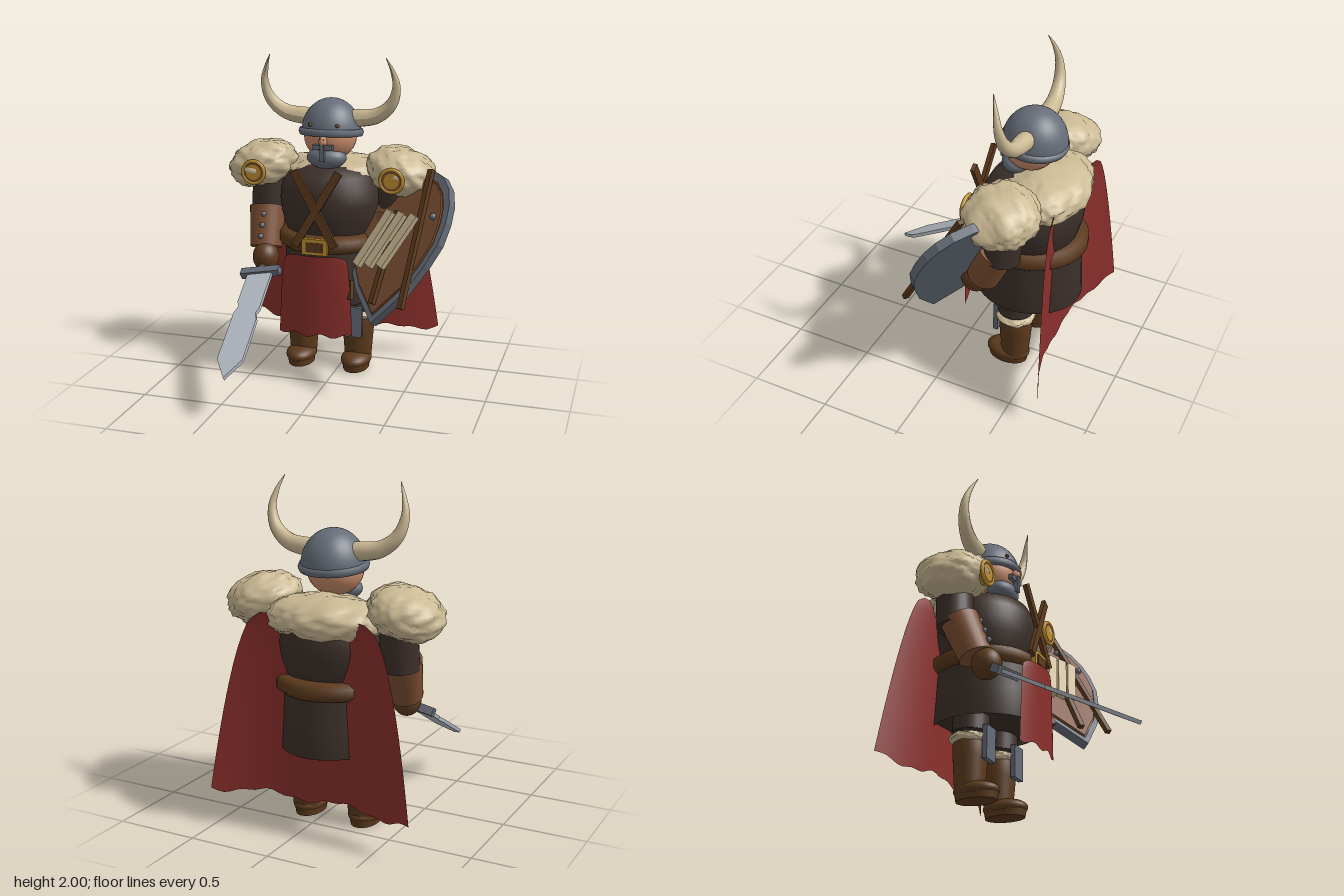
import * as THREE from 'three';
import { mergeVertices } from 'three/addons/utils/BufferGeometryUtils.js';

const mat = (name, color, side = THREE.FrontSide) => {
  const m = new THREE.MeshStandardMaterial({ color, side });
  m.name = name;
  return m;
};
const V = (x, y, z) => new THREE.Vector3(x, y, z);

export function createModel() {
  const fur = mat('tan fur and horn', 0xcbb994);
  const steel = mat('grey steel', 0x666d78);
  const blade = mat('bright blade', 0xb4bbc3);
  const cloth = mat('dark tunic', 0x3c302a);
  const brown = mat('dark brown leather', 0x5c3a1d);
  const leather = mat('tan leather', 0x7d4f33);
  const red = mat('red cloth', 0x8a2f2b, THREE.DoubleSide);
  const gold = mat('gold', 0xbd8f2e);
  const skin = mat('skin', 0xc98d6b);

  const model = new THREE.Group();
  model.name = 'warrior';
  const body = new THREE.Group(); // mirrored parts share this centre line
  body.name = 'body';
  body.position.x = -0.076;
  model.add(body);

  const add = (parent, name, geo, material, x = 0, y = 0, z = 0) => {
    const m = new THREE.Mesh(geo, material);
    m.name = name;
    m.position.set(x, y, z);
    parent.add(m);
    return m;
  };
  const box = (w, h, d) => new THREE.BoxGeometry(w, h, d);
  const ball = (rx, ry, rz) => new THREE.SphereGeometry(1, 28, 18).scale(rx, ry, rz);
  const lathe = (pts, zScale = 1) =>
    new THREE.LatheGeometry(pts.map(p => new THREE.Vector2(p[0], p[1])), 40).scale(1, 1, zScale);
  // orients an object by its long axis and its front normal
  const orient = (o, origin, up, normal) => {
    const y = up.clone().normalize();
    const x = y.clone().cross(normal).normalize();
    o.quaternion.setFromRotationMatrix(new THREE.Matrix4().makeBasis(x, y, x.clone().cross(y)));
    o.position.copy(origin);
    return o;
  };
  const bar = (parent, name, a, b, w, d, material, normal) =>
    orient(add(parent, name, box(w, a.distanceTo(b), d), material),
      a.clone().add(b).multiplyScalar(0.5), b.clone().sub(a), normal);
  const limb = (name, a, b, ra, rb, material) =>
    orient(add(body, name, new THREE.CylinderGeometry(rb, ra, a.distanceTo(b), 24), material),
      a.clone().add(b).multiplyScalar(0.5), b.clone().sub(a), V(0, 0, 1));
  // lumpy ellipsoid for fur
  const furBall = (rx, ry, rz, seed) => {
    let g = new THREE.IcosahedronGeometry(1, 9);
    g.deleteAttribute('normal');
    g.deleteAttribute('uv');
    g = mergeVertices(g, 1e-4);
    const p = g.attributes.position;
    for (let i = 0; i < p.count; i++) {
      const v = V().fromBufferAttribute(p, i);
      const k = 0.98 + 0.045 * Math.sin(7 * v.x + 3 * v.y + seed) * Math.sin(6 * v.z - 4 * v.y + seed)
        + 0.04 * Math.sin(15 * v.x + 9 * v.z + seed) * Math.cos(13 * v.y - 8 * v.z)
        + 0.02 * Math.sin(29 * v.y + 23 * v.x) * Math.sin(25 * v.z + seed);
      p.setXYZ(i, v.x * k * rx, v.y * k * ry, v.z * k * rz);
    }
    g.computeVertexNormals();
    return g;
  };
  // sheet shaped by a rule of s (-1..1 across) and t (0..1 down)
  const sheet = (rule) => {
    const g = new THREE.PlaneGeometry(2, 1, 36, 24);
    const p = g.attributes.position;
    for (let i = 0; i < p.count; i++) p.setXYZ(i, ...rule(p.getX(i), 0.5 - p.getY(i)));
    g.computeVertexNormals();
    return g;
  };

  // torso, skirt and belt
  add(body, 'torso', lathe([[0.25, 0.84], [0.29, 0.93], [0.315, 1.02], [0.325, 1.1], [0.315, 1.19],
    [0.27, 1.27], [0.15, 1.32], [0, 1.325]], 0.94), cloth, 0, 0, -0.372);
  add(body, 'tunicSkirt', lathe([[0, 0.52], [0.28, 0.5], [0.3, 0.48], [0.29, 0.65], [0.28, 0.9]], 1.11),
    cloth, 0, 0, -0.362);
  add(body, 'belt', lathe([[0.24, 0.81], [0.3, 0.815], [0.328, 0.84], [0.328, 0.89], [0.3, 0.915], [0.24, 0.92]], 1.05),
    brown, 0, 0, -0.368);
  add(body, 'buckle', box(0.16, 0.1, 0.03), gold, 0, 0.87, -0.02);
  add(body, 'buckleCentre', box(0.105, 0.058, 0.02), brown, 0, 0.868, -0.008);
  for (const s of [-1, 1])
    bar(body, 'chestStrap', V(s * 0.125, 0.875, -0.01), V(-s * 0.14, 1.33, -0.045), 0.05, 0.025, brown, V(0, 0, 1));

  // cloth
  add(body, 'loincloth', sheet((s, t) => [
    s * (0.195 + 0.04 * Math.sqrt(t)),
    0.82 - 0.51 * t - 0.03 * s ** 8 * (1 - t) + t * 0.012 * Math.sin(9 * s),
    0.02 - 0.05 * s * s]), red);
  add(body, 'cape', sheet((s, t) => [
    s * (0.33 + 0.31 * Math.pow(t, 0.5)),
    1.27 - t * (1.085 + 0.018 * Math.sin(8 * s + 0.6) + 0.008 * Math.sin(23 * s) - 0.012 * s ** 8),
    -0.58 - Math.abs(s) ** 2.5 * (0.05 + 0.08 * t)]), red);

  // fur collar
  add(body, 'furCollar', furBall(0.365, 0.14, 0.245, 1), fur, 0, 1.242, -0.47);

  // head
  add(body, 'head', ball(0.165, 0.15, 0.158), skin, 0, 1.5, -0.345);
  add(body, 'nose', ball(0.025, 0.035, 0.035), skin, 0, 1.49, -0.185);
  add(body, 'beard', ball(0.125, 0.07, 0.09), steel, 0, 1.378, -0.265);
  add(body, 'moustache', box(0.125, 0.03, 0.03), steel, 0, 1.455, -0.185);
  add(body, 'noseGuard', box(0.028, 0.14, 0.03), steel, 0, 1.44, -0.172);
  add(body, 'helmetDome', new THREE.SphereGeometry(0.185, 32, 16, 0, Math.PI * 2, 0, Math.PI / 2).scale(1, 1.13, 1.04),
    steel, 0, 1.525, -0.365);
  add(body, 'helmetLining', new THREE.CircleGeometry(0.185, 32).rotateX(Math.PI / 2), steel, 0, 1.515, -0.365);
  const rim = add(body, 'helmetRim', lathe([[0.17, -0.022], [0.195, -0.022], [0.203, 0], [0.195, 0.022], [0.17, 0.022]]),
    steel, 0, 1.525, -0.362);
  rim.rotation.x = -0.1;
  for (const s of [-1, 1]) add(body, 'helmetRivet', ball(0.013, 0.011, 0.013), brown, s * 0.086, 1.588, -0.2);

  // horn swept along a curve and tapered ring by ring
  const horn = (s) => {
    const path = new THREE.CatmullRomCurve3([V(0.14, 1.61, -0.37), V(0.29, 1.635, -0.36), V(0.385, 1.71, -0.345),
      V(0.42, 1.82, -0.325), V(0.4, 1.92, -0.3), V(0.366, 2, -0.27)].map(v => v.setX(v.x * s)));
    const n = 28, r = 12, g = new THREE.TubeGeometry(path, n, 0.056, r);
    const p = g.attributes.position;
    for (let i = 0; i < p.count; i++) {
      const t = Math.floor(i / (r + 1)) / n;
      const v = V().fromBufferAttribute(p, i).lerp(path.getPointAt(t), Math.pow(t, 1.4) * 0.97);
      p.setXYZ(i, v.x, v.y, v.z);
    }
    g.computeVertexNormals();
    return g;
  };

  for (const s of [-1, 1]) {
    add(body, 'horn', horn(s), fur);

    // shoulder
    add(body, 'shoulderFur', furBall(0.225, 0.15, 0.225, 3 + s), fur, s * 0.452, 1.298, -0.368).rotation.z = -s * 0.28;
    const disc = new THREE.Group();
    disc.name = 'shoulderDisc';
    disc.position.set(s * 0.44, 1.28, -0.165);
    body.add(disc);
    add(disc, 'discPlate', new THREE.CylinderGeometry(0.07, 0.07, 0.04, 28).rotateX(Math.PI / 2), gold);
    add(disc, 'discRim', new THREE.TorusGeometry(0.069, 0.012, 10, 32), gold, 0, 0, 0.015);
    add(disc, 'discRing', new THREE.RingGeometry(0.048, 0.06, 28), leather, 0, 0, 0.022);

    // arm
    limb('upperArm', V(s * 0.42, 0.97, -0.36), V(s * 0.41, 1.25, -0.38), 0.108, 0.11, cloth);
    limb('forearm', V(s * 0.395, 0.78, -0.235), V(s * 0.415, 1.02, -0.335), 0.1, 0.115, leather);
    add(body, 'hand', ball(0.083, 0.095, 0.09), brown, s * 0.375, 0.735, -0.175);
    for (let i = 0; i < 3; i++)
      add(body, 'forearmStud', ball(0.017, 0.017, 0.017), steel, s * 0.4, 0.87 + i * 0.065, -0.152 - i * 0.03);

    // leg
    const x = s * 0.185;
    add(body, 'thigh', new THREE.CylinderGeometry(0.1, 0.112, 0.25, 24), cloth, x, 0.53, -0.36);
    add(body, 'knee', ball(0.112, 0.06, 0.108), cloth, x, 0.42, -0.36);
    add(body, 'boot', lathe([[0.085, 0.05], [0.09, 0.12], [0.1, 0.25], [0.104, 0.33], [0.09, 0.38], [0, 0.39]]),
      brown, x, 0, -0.36);
    add(body, 'bootCuff', furBall(0.127, 0.045, 0.122, 6), fur, x, 0.365, -0.36);
    add(body, 'shinGuard', box(0.11, 0.2, 0.03), steel, x, 0.33, -0.245);
    add(body, 'foot', ball(0.096, 0.055, 0.14), brown, x, 0.06, -0.315);
    add(body, 'sole', new THREE.CylinderGeometry(0.085, 0.08, 0.04, 24).scale(1, 1, 1.55), brown, x, 0.02, -0.315);
  }

  // shield: steel plate with raised leather face, laid in its own plane
  const half = [[0.19, 0.195], [0.3, 0.375], [0.365, 0.515], [0.385, 0.65], [0.38, 0.76], [0.345, 0.86],
    [0.28, 0.935], [0.17, 0.985]];
  const outline = (k) => {
    const pts = [[0, 0], ...half, ...half.map(p => [-p[0], p[1]]).reverse()];
    return new THREE.Shape(pts.map(p => new THREE.Vector2(p[0] * k, 0.52 + (p[1] - 0.52) * k)));
  };
  const plate = (shape, depth) => new THREE.ExtrudeGeometry(shape, { depth, bevelEnabled: false });
  const normal = V(-0.48, 0.46, 0.75);
  const shield = orient(new THREE.Group(), V(0.33, 0.455, 0.11), V(0.115, 0.86, -0.495), normal);
  shield.name = 'shield';
  model.add(shield);
  const rimShape = outline(1);
  rimShape.holes.push(outline(0.91));
  add(shield, 'shieldBack', plate(outline(1), 0.03), steel, 0, 0, -0.025);
  add(shield, 'shieldRim', plate(rimShape, 0.025), steel, 0, 0, 0.005);
  add(shield, 'shieldEdge', plate(outline(0.915), 0.025), brown);
  add(shield, 'shieldFace', plate(outline(0.88), 0.04), leather);
  for (const s of [-1, 1])
    for (const [u, v] of [[0.19, 0.84], [0.29, 0.68]])
      add(shield, 'shieldStud', ball(0.02, 0.02, 0.02), steel, s * u, v, 0.045);
  bar(model, 'shieldPlank', V(0.51, 0.6, 0.19), V(0.59, 1.35, -0.225), 0.035, 0.03, brown, normal);
  bar(model, 'shieldPlank', V(0.31, 0.58, 0.09), V(0.41, 1.1, -0.15), 0.035, 0.03, brown, normal);
  bar(model, 'shieldPlank', V(0.14, 0.55, -0.03), V(0.13, 0.66, -0.07), 0.045, 0.03, brown, normal);
  for (let i = 0; i < 3; i++) {
    const dx = i * 0.08, dz = i * 0.03;
    bar(model, 'shieldSlat', V(0.18 + dx, 0.77 + i * 0.01, -0.05 + dz), V(0.37 + dx, 1.1, -0.13 + dz),
      0.055, 0.035, fur, normal);
  }

  // sword, lying nearly face up
  const across = V(0.98, 0.19, 0.035);
  const along = V(0.058, -0.465, 0.884);
  const sword = orient(new THREE.Group(), V(-0.445, 0.665, -0.06), along, across.clone().cross(along));
  sword.name = 'sword';
  model.add(sword);
  const edge = [[-0.083, 0], [0.083, 0], [0.083, 0.33], [0.068, 0.37], [0.087, 0.42], [0.087, 0.74], [0, 0.87],
    [-0.083, 0.72], [-0.083, 0.35], [-0.065, 0.3], [-0.083, 0.26]];
  add(sword, 'blade', plate(new THREE.Shape(edge.map(p => new THREE.Vector2(...p))), 0.022), blade, 0, 0, -0.011);
  add(sword, 'guard', box(0.26, 0.05, 0.05), steel);
  add(sword, 'grip', new THREE.CylinderGeometry(0.025, 0.025, 0.16, 14), brown, 0, -0.08, 0);

  return model;
}
